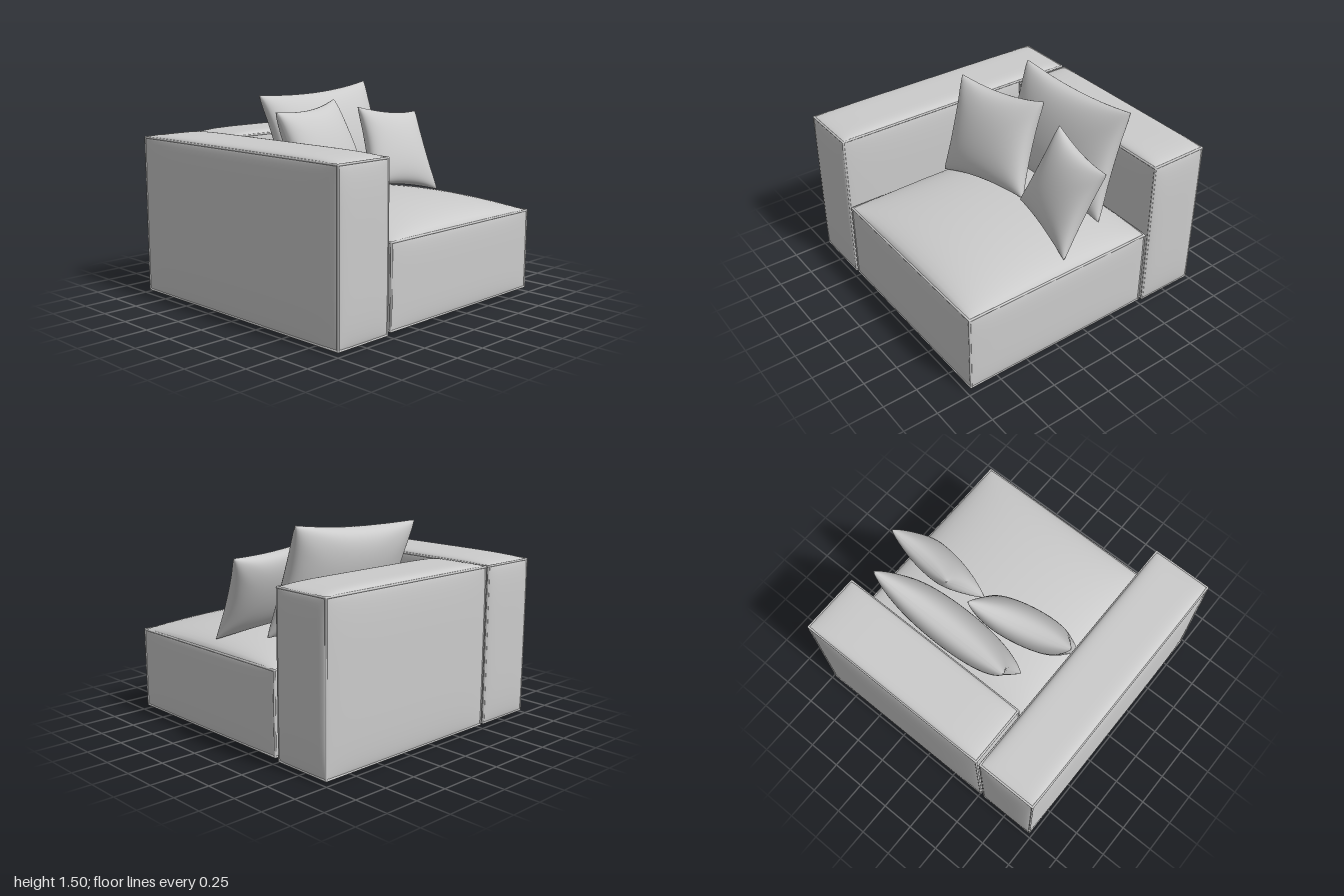
import * as THREE from 'three';
import { mergeGeometries } from 'three/addons/utils/BufferGeometryUtils.js';

const fabric = new THREE.MeshStandardMaterial({ color: 0xcccccc });
const footMaterial = new THREE.MeshStandardMaterial({ color: 0x222222 });

function named(geometry, material, name) {
  const mesh = new THREE.Mesh(geometry, material);
  mesh.name = name;
  return mesh;
}

// Box whose panels swell outwards; the edges stay straight and sharp.
// power 2 gives a soft dome on top, larger powers a flat padded panel.
function paddedBox(min, max, bulge, topBulge, topPower) {
  const lo = new THREE.Vector3(...min), hi = new THREE.Vector3(...max);
  const centre = lo.clone().add(hi).multiplyScalar(0.5);
  const half = hi.clone().sub(lo).multiplyScalar(0.5);
  const geometry = new THREE.BoxGeometry(2, 2, 2, 24, 24, 24);
  const pos = geometry.attributes.position, nor = geometry.attributes.normal;
  const p = new THREE.Vector3(), n = new THREE.Vector3();
  for (let i = 0; i < pos.count; i++) {
    p.fromBufferAttribute(pos, i);
    n.fromBufferAttribute(nor, i).round();
    const top = n.y > 0, power = top ? topPower : 4;
    let swell = top ? topBulge : n.y < 0 ? 0 : bulge;
    for (const axis of ['x', 'y', 'z']) {
      p[axis] = Math.sin(p[axis] * Math.PI / 2); // finer rows near the edges
      if (n[axis] === 0) swell *= Math.sqrt(Math.max(0, 1 - Math.abs(p[axis]) ** power));
    }
    p.multiply(half).add(centre).addScaledVector(n, swell);
    pos.setXYZ(i, p.x, p.y, p.z);
  }
  geometry.computeVertexNormals();
  return geometry;
}

// Thin piping along the twelve edges of a box
function piping(min, max) {
  const parts = [];
  for (let axis = 0; axis < 3; axis++) {
    const a = (axis + 1) % 3, b = (axis + 2) % 3;
    for (const ca of [min[a], max[a]]) for (const cb of [min[b], max[b]]) {
      const from = new THREE.Vector3(), to = new THREE.Vector3();
      from.setComponent(axis, min[axis]).setComponent(a, ca).setComponent(b, cb);
      to.copy(from).setComponent(axis, max[axis]);
      parts.push(new THREE.TubeGeometry(new THREE.LineCurve3(from, to), 1, 0.008, 8));
    }
  }
  for (const x of [min[0], max[0]]) for (const y of [min[1], max[1]]) for (const z of [min[2], max[2]])
    parts.push(new THREE.SphereGeometry(0.008, 8, 6).translate(x, y, z));
  return mergeGeometries(parts);
}

function upholstered(name, min, max, topBulge, topPower) {
  const group = new THREE.Group();
  group.name = name;
  group.add(named(paddedBox(min, max, 0.022, topBulge, topPower), fabric, name + 'Body'));
  group.add(named(piping(min, max), fabric, name + 'Piping'));
  return group;
}

// Scatter pillow stretched between four corners, with drawn-in edges and a plump middle
function pillow(name, corners, thickness, pinch) {
  const [tl, tr, br, bl] = corners.map(c => new THREE.Vector3(...c));
  const across = tr.clone().sub(tl).add(br).sub(bl).normalize();
  const up = tl.clone().sub(bl).add(tr).sub(br).normalize();
  const normal = across.clone().cross(up).normalize();
  const faces = [1, -1].map(side => {
    const geometry = new THREE.PlaneGeometry(2, 2, 32, 32);
    const pos = geometry.attributes.position;
    for (let i = 0; i < pos.count; i++) {
      const u = side * Math.sin(pos.getX(i) * Math.PI / 2);
      const v = Math.sin(pos.getY(i) * Math.PI / 2);
      const left = bl.clone().lerp(tl, (v + 1) / 2);
      const right = br.clone().lerp(tr, (v + 1) / 2);
      const p = left.lerp(right, (u + 1) / 2);
      p.addScaledVector(across, -pinch * u * Math.abs(u) * (1 - v * v));
      p.addScaledVector(up, -pinch * v * Math.abs(v) * (1 - u * u));
      const plump = (Math.max(0, 1 - u * u) * Math.max(0, 1 - v * v)) ** 0.4;
      // shallow creases that run into the corners
      const crease = 0.006 * Math.sin(9 * (Math.abs(u) - Math.abs(v))) * (u * v) ** 2;
      p.addScaledVector(normal, side * plump * (thickness + crease));
      pos.setXYZ(i, p.x, p.y, p.z);
    }
    geometry.computeVertexNormals();
    return geometry;
  });
  return named(mergeGeometries(faces), fabric, name);
}

export function createModel() {
  const model = new THREE.Group();
  model.name = 'cornerSofa';

  // Upholstered blocks
  model.add(upholstered('armrest', [-0.972, 0.025, -0.972], [-0.538, 1.15, 0.972], 0.033, 6));
  model.add(upholstered('backrest', [-0.505, 0.025, -0.972], [0.975, 1.15, -0.535], 0.033, 6));
  model.add(upholstered('seat', [-0.5, 0.04, -0.495], [0.975, 0.615, 0.972], 0.015, 2).translateY(0));
  const seatBody = model.getObjectByName('seatBody');
  seatBody.geometry = paddedBox([-0.5, 0.04, -0.495], [0.975, 0.615, 0.972], 0.015, 0.138, 2);

  // Pillows: corners run top left, top right, bottom right, bottom left
  model.add(pillow('backPillow',
    [[-0.33, 1.44, -0.47], [0.77, 1.5, -0.47], [0.8, 0.74, -0.22], [-0.28, 0.74, -0.22]], 0.15, 0.04));
  model.add(pillow('leftPillow',
    [[-0.55, 1.36, -0.04], [0.18, 1.4, -0.22], [0.29, 0.76, 0.04], [-0.48, 0.66, 0.19]], 0.14, 0.04));
  model.add(pillow('rightPillow',
    [[0.4, 1.33, -0.18], [0.97, 1.27, -0.1], [0.92, 0.68, 0.18], [0.29, 0.76, 0.06]], 0.11, 0.035));

  // Feet
  for (const x of [-0.76, 0.86]) for (const z of [-0.74, 0.79])
    model.add(named(new THREE.CylinderGeometry(0.036, 0.036, 0.05, 24).translate(x, 0.025, z), footMaterial, 'foot'));

  return model;
}
